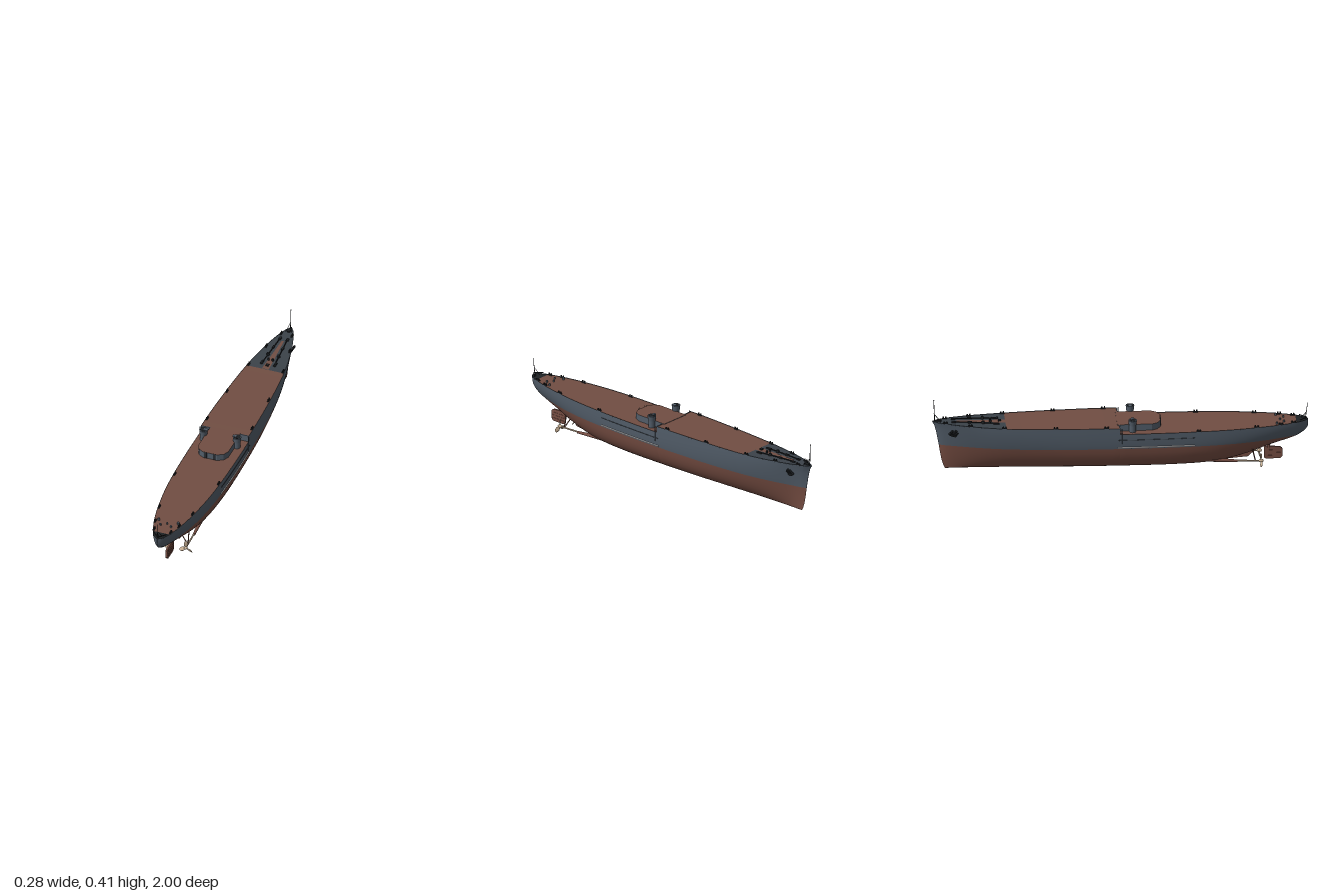
import * as THREE from 'three';

const mat = (name, color, side = THREE.FrontSide) => {
  const m = new THREE.MeshStandardMaterial({ color, side });
  m.name = name;
  return m;
};
const M = {
  grey: mat('hull grey', 0x525d69, THREE.DoubleSide),
  red: mat('bottom red', 0x774e43, THREE.DoubleSide),
  deck: mat('deck brown', 0x714e43),
  steel: mat('steel deck', 0x3b4249),
  black: mat('fitting black', 0x1e2124),
  bronze: mat('propeller bronze', 0xc9b195),
  white: mat('pale strip', 0xdcdcdc),
};

// Hull stations: z, half breadth, keel height, sheer height, fullness, bilge power
const ST = [
  [-1, 0.001, 0.014, 0.29, 1, 0.85], [-0.97, 0.022, 0.014, 0.289, 1, 0.85],
  [-0.9, 0.048, 0.014, 0.287, 1.1, 0.82], [-0.8, 0.074, 0.013, 0.283, 1.3, 0.72],
  [-0.6, 0.107, 0.012, 0.277, 1.9, 0.58], [-0.3, 0.128, 0.012, 0.275, 2.6, 0.45],
  [0, 0.136, 0.012, 0.273, 3, 0.4], [0.3, 0.135, 0.012, 0.26, 3, 0.4],
  [0.5, 0.127, 0.018, 0.25, 2.6, 0.47], [0.65, 0.112, 0.048, 0.245, 2.4, 0.54],
  [0.8, 0.087, 0.1, 0.24, 2.2, 0.58], [0.9, 0.061, 0.13, 0.24, 2, 0.58],
  [0.95, 0.043, 0.15, 0.24, 2, 0.58], [0.985, 0.022, 0.175, 0.24, 2, 0.58],
  [1, 0.001, 0.2, 0.24, 2, 0.58],
];
const slope = (i, c) => {
  const a = ST[Math.max(0, i - 1)], b = ST[Math.min(ST.length - 1, i + 1)];
  return (b[c] - a[c]) / (b[0] - a[0]);
};
function at(z, c) {
  let i = 0;
  while (i < ST.length - 2 && z > ST[i + 1][0]) i++;
  const h = ST[i + 1][0] - ST[i][0], t = (z - ST[i][0]) / h, t2 = t * t, t3 = t2 * t;
  return (2 * t3 - 3 * t2 + 1) * ST[i][c] + (t3 - 2 * t2 + t) * h * slope(i, c)
    + (3 * t2 - 2 * t3) * ST[i + 1][c] + (t3 - t2) * h * slope(i + 1, c);
}
const STEP = -0.01;
const deckY = (z, fore = z < STEP) => (fore ? at(z, 3) : 0.239);
const height = (z, y) => THREE.MathUtils.clamp((y - at(z, 2)) / (at(z, 3) - at(z, 2)), 0, 1);
const halfX = (z, y) => at(z, 1) * Math.pow(1 - Math.pow(1 - height(z, y), at(z, 4)), at(z, 5));
const rake = (z, y) => {
  const d = 1 - height(z, y);
  return THREE.MathUtils.smoothstep(-z, 0.7, 1) * (0.055 * Math.pow(d, 0.6) + 0.015 * Math.pow(d, 8));
};

// Grid surface; band(j) picks the material group of a column
function grid(rows, flip, band = () => 0) {
  const n = rows[0].length, pos = rows.flat(2), lists = [[], []];
  for (let i = 0; i < rows.length - 1; i++) for (let j = 0; j < n - 1; j++) {
    const a = i * n + j, b = a + n;
    lists[band(j)].push(...(flip ? [a, a + 1, b, b, a + 1, b + 1] : [a, b, a + 1, a + 1, b, b + 1]));
  }
  const g = new THREE.BufferGeometry();
  g.setAttribute('position', new THREE.Float32BufferAttribute(pos, 3));
  g.setIndex([...lists[0], ...lists[1]]);
  g.addGroup(0, lists[0].length, 0);
  g.addGroup(lists[0].length, lists[1].length, 1);
  g.computeVertexNormals();
  return g;
}
function span(a, b, n) {
  return Array.from({ length: n + 1 }, (_, i) => a + (b - a) * i / n);
}

export function createModel() {
  const root = new THREE.Group();
  root.name = 'warshipHull';
  const add = (name, geo, m, x = 0, y = 0, z = 0, parent = root) => {
    const o = new THREE.Mesh(geo, m);
    o.name = name;
    o.position.set(x, y, z);
    parent.add(o);
    return o;
  };
  const box = (name, m, w, h, d, x, y, z) => add(name, new THREE.BoxGeometry(w, h, d), m, x, y, z);
  const cyl = (name, m, r, h, x, y, z, r2 = r) => add(name, new THREE.CylinderGeometry(r2, r, h, 16), m, x, y, z);
  const rod = (name, m, a, b, r, r2 = r) => {
    const A = new THREE.Vector3(...a), B = new THREE.Vector3(...b), d = B.clone().sub(A);
    const o = add(name, new THREE.CylinderGeometry(r2, r, d.length(), 8), m);
    o.position.copy(A).add(B).multiplyScalar(0.5);
    o.quaternion.setFromUnitVectors(new THREE.Vector3(0, 1, 0), d.normalize());
    return o;
  };

  // Hull skin, red below the waterline and grey above
  const L = 9, U = 6, K = L + U;
  const section = (z, fore) => {
    const yk = at(z, 2), yd = deckY(z, fore), yw = Math.max(0.152, yk), row = [];
    for (let j = -K; j <= K; j++) {
      const k = Math.abs(j);
      const y = k <= L ? yk + (yw - yk) * (k / L) ** 2 : yw + (yd - yw) * (k - L) / U;
      row.push([Math.sign(j) * halfX(z, y), y, z + rake(z, y)]);
    }
    return row;
  };
  const band = j => (j >= U && j < U + 2 * L ? 0 : 1);
  const foreZ = [...span(-1, -0.9, 8), ...span(-0.88, STEP, 26)];
  const aftZ = [...span(STEP, 0.9, 28), ...span(0.91, 1, 12)];
  const rows = [...foreZ.map(z => section(z, true)), ...aftZ.map(z => section(z, false))];
  add('hull', grid(rows, true, band), [M.red, M.grey]);

  // Decks, set just below the hull edge
  const deck = (name, m, z0, z1, fore, lift = -0.003, half = z => halfX(z, deckY(z, fore))) =>
    add(name, grid(span(z0, z1, 24).map(z => {
      const y = deckY(z, fore) + lift, x = half(z);
      return [[-x, y, z], [x, y, z]];
    }), false), m);
  deck('foreDeck', M.deck, -0.61, STEP, true);
  deck('bowDeck', M.steel, -0.999, -0.61, true);
  deck('bowDeckPlanking', M.deck, -0.87, -0.61, true, 0, z => 0.006 + (z + 0.87) * 0.05);
  deck('aftDeck', M.deck, STEP, 0.935, false);
  deck('sternDeck', M.black, 0.935, 0.999, false);

  // Raised deck house and the break of the forecastle
  const house = new THREE.Shape([[-0.085, 0.02], [-0.085, -0.165], [-0.07, -0.195], [-0.04, -0.212],
    [0.04, -0.212], [0.07, -0.195], [0.085, -0.165], [0.085, 0.02]].map(p => new THREE.Vector2(...p)));
  add('deckHouse', new THREE.ExtrudeGeometry(house, { depth: 0.036, bevelEnabled: false })
    .rotateX(-Math.PI / 2), [M.deck, M.grey], 0, 0.2365, 0);

  // Propeller: hub and three twisted blades
  const propeller = x => {
    const g = new THREE.Group();
    g.name = 'propeller';
    g.position.set(x, 0.03, 0.745);
    root.add(g);
    add('hub', new THREE.SphereGeometry(0.009, 16, 10).scale(1, 1, 1.6), M.bronze, 0, 0, 0, g);
    for (let i = 0; i < 3; i++) {
      const blade = new THREE.SphereGeometry(1, 14, 10).scale(0.0115, 0.018, 0.002)
        .rotateY(0.5 * Math.sign(x)).translate(0, 0.024, 0).rotateZ(i * Math.PI * 2 / 3);
      add('blade', blade, M.bronze, 0, 0, 0, g);
    }
  };

  for (const s of [-1, 1]) {
    box('forecastleBreak', M.grey, 0.052, 0.037, 0.004, s * 0.109, 0.2545, STEP);
    propeller(s * 0.066);
    rod('shaft', M.bronze, [s * 0.066, 0.03, 0.745], [s * 0.06, 0.036, 0.5], 0.0045);
    rod('shaftBossing', M.red, [s * 0.064, 0.032, 0.62], [s * 0.05, 0.045, 0.4], 0.007, 0.016);
    rod('shaftStrut', M.red, [s * 0.066, 0.03, 0.715], [s * 0.02, 0.085, 0.7], 0.003);
    rod('shaftStrut', M.red, [s * 0.066, 0.03, 0.715], [s * 0.066, 0.1, 0.7], 0.003);

    // Gun tub on its pedestal
    cyl('tubPedestal', M.grey, 0.018, 0.038, s * 0.095, 0.256, 0.06);
    cyl('gunTub', M.grey, 0.02, 0.028, s * 0.095, 0.289, 0.06, 0.023);
    cyl('tubFloor', M.black, 0.018, 0.002, s * 0.095, 0.303, 0.06);
    box('tubLip', M.grey, 0.022, 0.004, 0.016, s * 0.082, 0.305, 0.06);

    // Side strips following the hull
    const strip = span(-0.02, 0.39, 6);
    for (let i = 0; i < 6; i++) {
      const p = (z, y, o) => [s * (halfX(z, y) + o), y, z];
      rod('sideStrip', M.white, p(strip[i], 0.16, 0.001), p(strip[i + 1], 0.16, 0.001), 0.0035);
      rod('sideRail', M.steel, p(strip[i], 0.205, 0.001), p(strip[i + 1], 0.205, 0.001), 0.0015);
    }
    rod('sidePipe', M.grey, [s * 0.136, 0.185, 0], [s * 0.137, 0.272, 0], 0.003);

    // Anchor on the bow
    const az = -0.885, ax = s * (halfX(az, 0.235) + 0.002);
    const anchor = new THREE.Group();
    anchor.name = 'anchor';
    anchor.position.set(ax, 0.235, az);
    anchor.rotation.set(0.5, s * -0.3, s * -0.35);
    root.add(anchor);
    add('anchorShank', new THREE.BoxGeometry(0.01, 0.042, 0.012), M.black, 0, 0, 0, anchor);
    add('anchorCrown', new THREE.BoxGeometry(0.012, 0.014, 0.044), M.black, 0, -0.012, 0, anchor);
    for (const f of [-1, 1])
      add('anchorFluke', new THREE.BoxGeometry(0.009, 0.026, 0.009), M.black, 0, 0, f * 0.017, anchor);

    // Chains, windlasses and lockers on the bow
    rod('anchorChain', M.black, [s * 0.036, 0.281, -0.655], [s * 0.026, 0.287, -0.79], 0.003);
    rod('anchorChain', M.black, [s * 0.026, 0.287, -0.79], [s * 0.02, 0.29, -0.885], 0.003);
    cyl('windlass', M.black, 0.009, 0.014, s * 0.03, 0.288, -0.73, 0.007);
    cyl('capstan', M.black, 0.006, 0.012, s * 0.012, 0.286, -0.69);
    box('chainStopper', M.black, 0.01, 0.008, 0.022, s * 0.026, 0.288, -0.8);
    box('hawsePlate', M.black, 0.014, 0.005, 0.024, s * 0.021, 0.289, -0.885);
    box('chainLocker', M.black, 0.013, 0.006, 0.03, s * 0.037, 0.28, -0.66);

    // Bollard pairs along the deck edge
    for (const z of [-0.93, -0.8, -0.62, -0.35, -0.08, 0.41, 0.72, 0.85, 0.92]) {
      const x = s * (halfX(z, deckY(z)) - 0.007), y = deckY(z);
      box('bollardBase', M.black, 0.009, 0.004, 0.026, x, y, z);
      for (const d of [-0.007, 0.007]) cyl('bollard', M.black, 0.0038, 0.012, x, y + 0.004, z + d);
    }
    cyl('ventilator', M.grey, 0.006, 0.012, s * 0.055, 0.242, 0.83);
    cyl('ventilator', M.grey, 0.005, 0.01, s * 0.03, 0.241, 0.87);

    // Ladders and doors on the deck house front
    for (const d of [-0.006, 0.006])
      rod('ladderRail', M.black, [s * 0.025 + d, 0.238, 0.215], [s * 0.025 + d, 0.277, 0.215], 0.0012);
    for (let i = 0; i < 5; i++) box('ladderRung', M.black, 0.012, 0.0018, 0.002, s * 0.025, 0.243 + i * 0.0065, 0.215);

    // Staff braces
    rod('bowStaffBrace', M.black, [s * 0.015, 0.288, -0.955], [0, 0.332, -0.99], 0.0012);
    rod('sternStaffBrace', M.black, [s * 0.014, 0.238, 0.965], [0, 0.28, 0.992], 0.0011);
    rod('sternRail', M.black, [s * 0.035, 0.246, 0.955], [0, 0.246, 0.994], 0.002);
  }
  cyl('ventilator', M.grey, 0.005, 0.01, 0, 0.241, 0.85);
  box('bowHatch', M.black, 0.016, 0.006, 0.016, 0, 0.283, -0.64);
  box('bowFairlead', M.black, 0.016, 0.007, 0.03, 0, 0.292, -0.965);

  // Flag staffs
  rod('bowStaff', M.black, [0, 0.285, -0.985], [0, 0.408, -0.99], 0.0025, 0.0015);
  add('bowStaffCap', new THREE.SphereGeometry(0.003, 8, 6), M.black, 0, 0.408, -0.99);
  rod('sternStaff', M.black, [0, 0.236, 0.985], [0, 0.33, 0.997], 0.002, 0.0012);

  // Rudder and its stock
  const rudder = new THREE.Shape([[0.765, 0.02], [0.775, 0.013], [0.85, 0.013], [0.862, 0.025],
    [0.862, 0.07], [0.85, 0.079], [0.775, 0.085], [0.765, 0.08]].map(p => new THREE.Vector2(...p)));
  add('rudder', new THREE.ExtrudeGeometry(rudder, { depth: 0.01, bevelEnabled: false })
    .rotateY(-Math.PI / 2), M.red, 0.005, 0, 0);
  cyl('rudderStock', M.red, 0.006, 0.05, 0, 0.09, 0.79, 0.011);
  for (const y of [0.03, 0.046, 0.062]) box('rudderRib', M.red, 0.013, 0.003, 0.085, 0, y, 0.813);
  // Centreline skeg ahead of the rudder
  const skeg = new THREE.Shape([[0.52, 0.03], [0.55, 0.02], [0.68, 0.03], [0.72, 0.075], [0.66, 0.07]]
    .map(p => new THREE.Vector2(...p)));
  add('skeg', new THREE.ExtrudeGeometry(skeg, { depth: 0.012, bevelEnabled: false })
    .rotateY(-Math.PI / 2), M.red, 0.006, 0, 0);
  return root;
}
